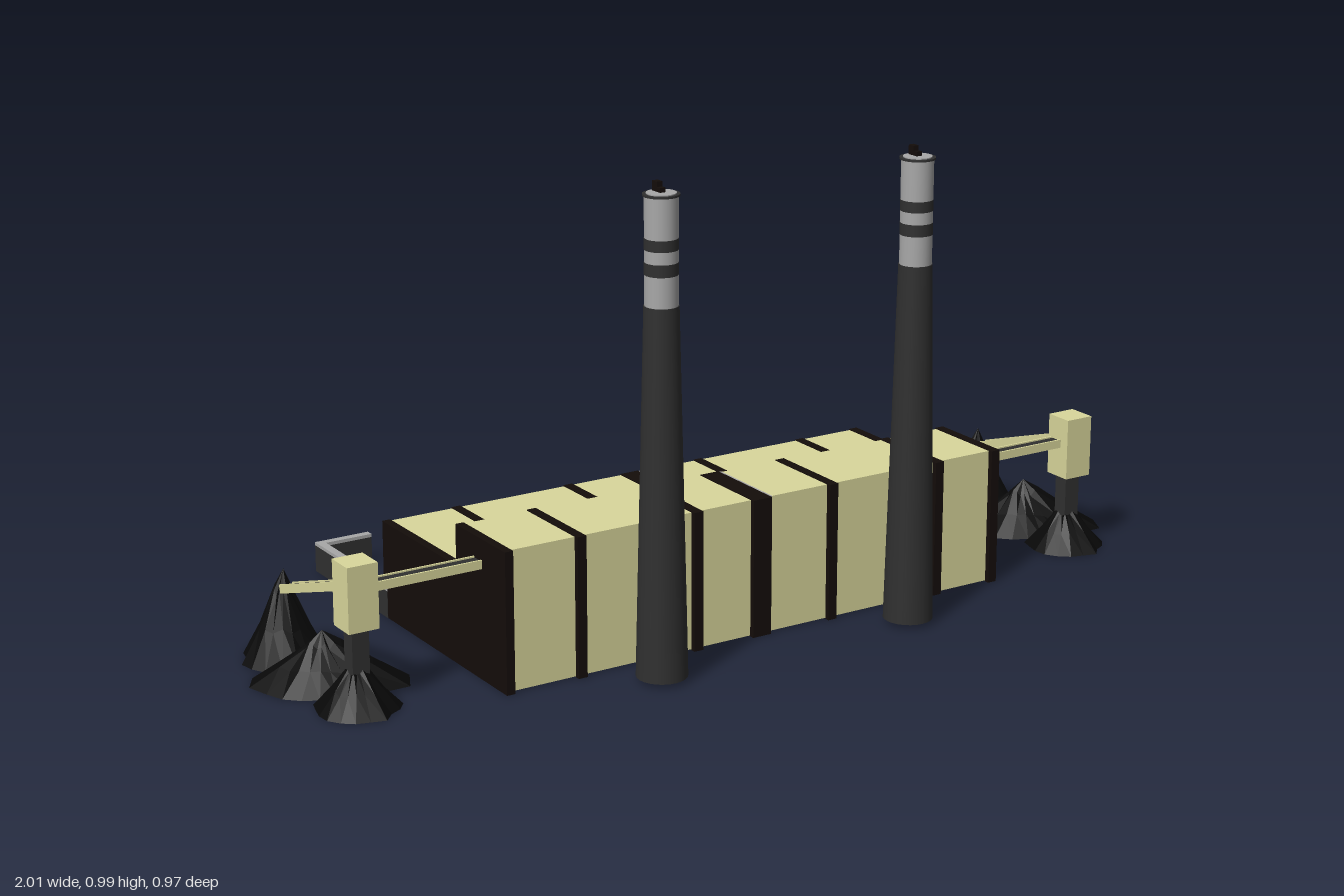
import * as THREE from 'three';

const mat = (color, extra = {}) => new THREE.MeshStandardMaterial({ color, ...extra });
const cream = mat(0xdad89c), black = mat(0x140d0a), dark = mat(0x303030), grey = mat(0xa8a8a8);
const coal = mat(0x080808, { flatShading: true, side: THREE.DoubleSide });

function add(parent, name, geometry, material, x = 0, y = 0, z = 0) {
  const mesh = new THREE.Mesh(geometry, material);
  mesh.name = name;
  mesh.position.set(x, y, z);
  parent.add(mesh);
  return mesh;
}

// Box given by its min and max along each axis
function span(parent, name, material, x0, x1, y0, y1, z0, z1) {
  const g = new THREE.BoxGeometry(x1 - x0, y1 - y0, z1 - z0);
  return add(parent, name, g, material, (x0 + x1) / 2, (y0 + y1) / 2, (z0 + z1) / 2);
}

function group(parent, name, x = 0, y = 0, z = 0) {
  const g = new THREE.Group();
  g.name = name;
  g.position.set(x, y, z);
  parent.add(g);
  return g;
}

// Slice of the stepped hall: high at the front, low at the back
function hallSlice(parent, name, material, x0, x1, grow, front) {
  const zb = -0.163 - grow, zs = 0.15 - grow, top = 0.288 + grow, low = 0.203 + grow, y0 = 0.002 - grow;
  const s = new THREE.Shape([[-front, y0], [-zb, y0], [-zb, low], [-zs, low], [-zs, top], [-front, top]]
    .map(p => new THREE.Vector2(...p)));
  const g = new THREE.ExtrudeGeometry(s, { depth: x1 - x0, bevelEnabled: false });
  g.rotateY(Math.PI / 2);
  return add(parent, name, g, material, x0, 0, 0);
}

function buildHall(root) {
  const hall = group(root, 'hall');
  const bands = [[-0.6, -0.582], [-0.441, -0.421], [-0.175, -0.154], [-0.035, 0.008],
    [0.149, 0.169], [0.415, 0.435], [0.56, 0.58]];
  bands.forEach(([a, b], i) => {
    hallSlice(hall, 'band', black, a, b, 0.002, 0.343);
    if (i < bands.length - 1) hallSlice(hall, 'panel', cream, b, bands[i + 1][0], 0, 0.332);
  });
  hallSlice(hall, 'jointStrip', grey, 0.008, 0.014, 0.001, 0.334);
}

function buildChimney(root, x) {
  const c = group(root, 'chimney', x, 0, 0.432);
  const ring = (name, m, rb, rt, y0, y1) =>
    add(c, name, new THREE.CylinderGeometry(rt, rb, y1 - y0, 24), m, 0, (y0 + y1) / 2, 0);
  ring('shaft', dark, 0.051, 0.034, 0.01, 0.75);
  ring('upperShaft', grey, 0.0325, 0.0325, 0.75, 0.962);
  ring('stripe', dark, 0.033, 0.033, 0.81, 0.834);
  ring('stripe', dark, 0.033, 0.033, 0.858, 0.88);
  ring('rim', dark, 0.036, 0.036, 0.96, 0.964);
  ring('mouth', grey, 0.029, 0.029, 0.962, 0.966);
  span(c, 'capBase', black, -0.006, 0.006, 0.964, 0.975, -0.018, 0.005);
  span(c, 'cap', black, -0.006, 0.006, 0.964, 0.985, -0.022, -0.006);
}

// Conveyor of given length along z: dark belt between two cream rails
function conveyor(parent, name, length) {
  const c = group(parent, name);
  span(c, 'belt', dark, -0.012, 0.012, -0.004, 0.006, -length / 2, length / 2);
  for (const s of [-1, 1])
    add(c, 'rail', new THREE.BoxGeometry(0.004, 0.018, length), cream, s * 0.014, 0, 0);
  return c;
}

function seeded(seed) {
  return () => (seed = (seed * 16807) % 2147483647) / 2147483647;
}

// Craggy heap: an apex joined to jagged loops that widen downwards
function heap(parent, x, z, height, long, short, turn, seed) {
  const n = 18, rand = seeded(seed), pos = [0, height, 0], idx = [];
  const jag = Array.from({ length: n }, () => 0.86 + 0.22 * rand());
  const loops = [[0.22, 0.74], [0.58, 0.37], [1, 0]];
  loops.forEach(([r, h], k) => {
    for (let i = 0; i < n; i++) {
      const a = i / n * Math.PI * 2, c = Math.cos(a - turn) ** 2;
      const rad = (short + (long - short) * c * c) * r * jag[i];
      pos.push(Math.cos(a) * rad, height * h * (k < 2 ? 0.9 + 0.2 * rand() : 1), Math.sin(a) * rad);
      const j = (i + 1) % n, p = 1 + k * n;
      if (k === 0) idx.push(0, 1 + j, 1 + i);
      else idx.push(p - n + i, p - n + j, p + i, p - n + j, p + j, p + i);
    }
  });
  pos.push(0, 0, 0);
  const base = 1 + 2 * n;
  for (let i = 0; i < n; i++) idx.push(1 + 3 * n, base + i, base + (i + 1) % n);
  const g = new THREE.BufferGeometry();
  g.setAttribute('position', new THREE.Float32BufferAttribute(pos, 3));
  g.setIndex(idx);
  g.computeVertexNormals();
  add(parent, 'heap', g, coal, x, 0, z);
}

function buildCoalYard(root, x, wallX) {
  const yard = group(root, x < 0 ? 'rightCoalYard' : 'leftCoalYard', x, 0, 0);
  // Transfer tower and its chute
  span(yard, 'tower', cream, -0.032, 0.032, 0.163, 0.295, 0.211, 0.274);
  span(yard, 'chute', dark, -0.018, 0.018, 0.06, 0.164, 0.223, 0.257);
  // Level conveyor to the hall
  const reach = wallX - x, level = conveyor(yard, 'levelConveyor', Math.abs(reach));
  level.rotation.y = Math.PI / 2;
  level.position.set(reach / 2, 0.238, 0.236);
  // Sloping conveyor down to the rear heap
  const slope = conveyor(yard, 'slopingConveyor', 0.288);
  slope.rotation.x = -Math.atan2(0.09, 0.27);
  slope.position.set(0, 0.192, 0.076);
  // Coal heaps
  heap(yard, 0, 0.24, 0.105, 0.09, 0.085, 0, 11);
  heap(yard, 0, 0.09, 0.107, 0.165, 0.1, 0.53, 29);
  heap(yard, 0, -0.075, 0.182, 0.1, 0.09, 1.5, 47);
}

// Low wall running back from the hall and turning inwards
function buildWall(root, side, outer) {
  const wall = group(root, side < 0 ? 'rightYardWall' : 'leftYardWall', outer, 0, 0);
  const leg = (name, m, w, y0, y1, z0, z1) => {
    const x = -side * w;
    span(wall, name, m, Math.min(0, x), Math.max(0, x), y0, y1, z0, z1);
  };
  for (const [name, m, y0, y1] of [['wall', dark, 0, 0.058], ['coping', grey, 0.058, 0.065]]) {
    leg(name, m, 0.018, y0, y1, -0.465, -0.15);
    leg(name, m, 0.125, y0, y1, -0.482, -0.465);
  }
}

export function createModel() {
  const root = new THREE.Group();
  root.name = 'powerStation';
  buildHall(root);
  buildChimney(root, -0.307);
  buildChimney(root, 0.283);
  buildCoalYard(root, -0.864, -0.598);
  buildCoalYard(root, 0.852, 0.578);
  buildWall(root, -1, -0.601);
  buildWall(root, 1, 0.581);
  return root;
}
